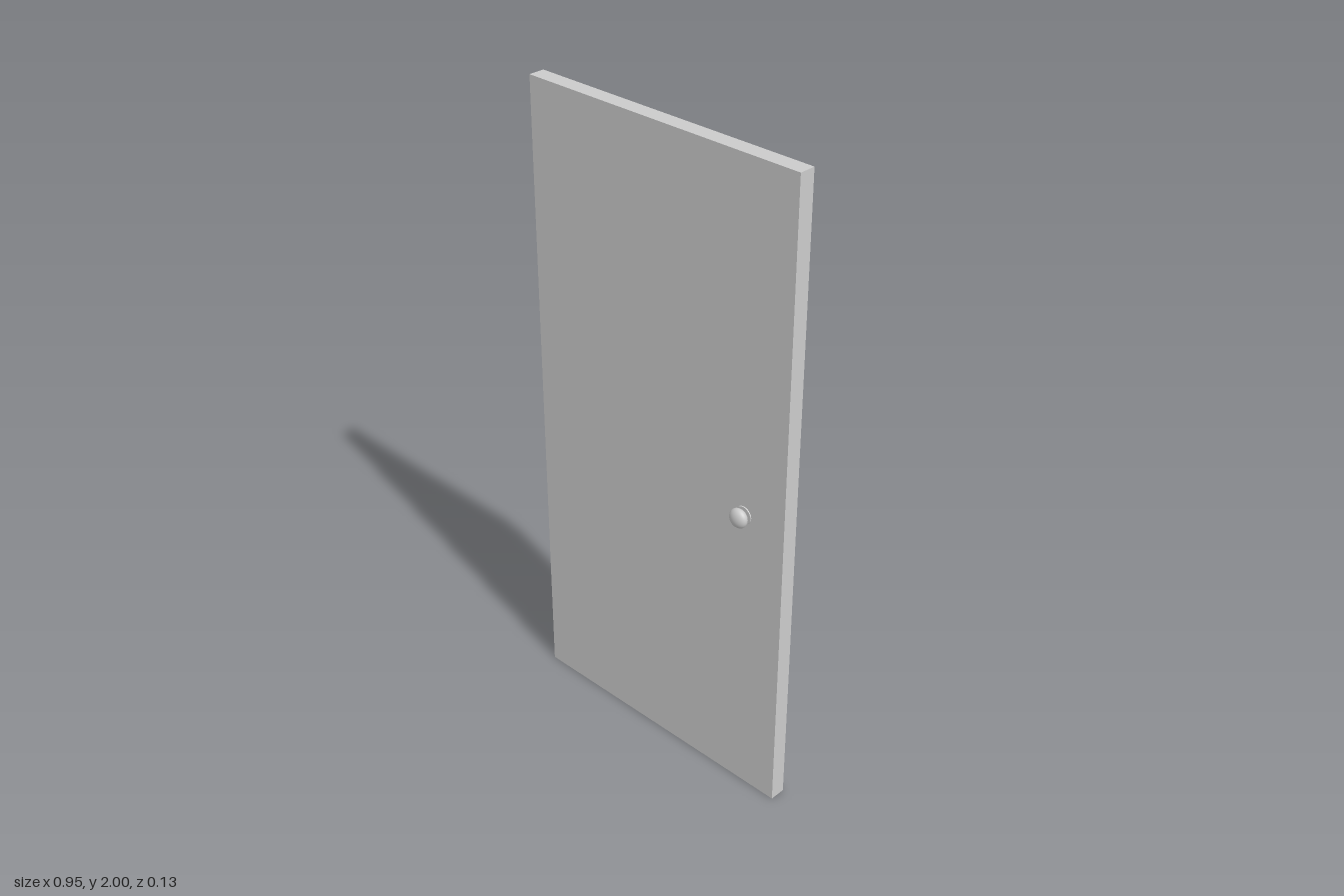
import * as THREE from 'three';

export function createModel() {
  const group = new THREE.Group();
  const material = new THREE.MeshStandardMaterial({ color: 0xcccccc });
  const width = 0.95, height = 2, depth = 0.05;
  const knobX = 0.33, knobY = 0.955;

  // Door slab
  const panel = new THREE.Mesh(new THREE.BoxGeometry(width, height, depth), material);
  panel.name = 'doorPanel';
  panel.position.y = height / 2;
  group.add(panel);

  // A thin rosette and a flattened round knob on each face
  const rosetteGeometry = new THREE.CylinderGeometry(0.027, 0.028, 0.004, 32).rotateX(Math.PI / 2);
  const knobGeometry = new THREE.SphereGeometry(0.03, 32, 20).rotateX(Math.PI / 2).scale(1, 1, 0.62);

  for (const [name, side] of [['front', 1], ['back', -1]]) {
    const handle = new THREE.Group();
    handle.name = name + 'Handle';
    handle.position.set(knobX, knobY, 0);
    handle.rotation.y = side > 0 ? 0 : Math.PI;

    const rosette = new THREE.Mesh(rosetteGeometry, material);
    rosette.name = name + 'Rosette';
    rosette.position.z = depth / 2 + 0.001;

    const knob = new THREE.Mesh(knobGeometry, material);
    knob.name = name + 'Knob';
    knob.position.z = 0.0465;

    handle.add(rosette, knob);
    group.add(handle);
  }

  return group;
}
